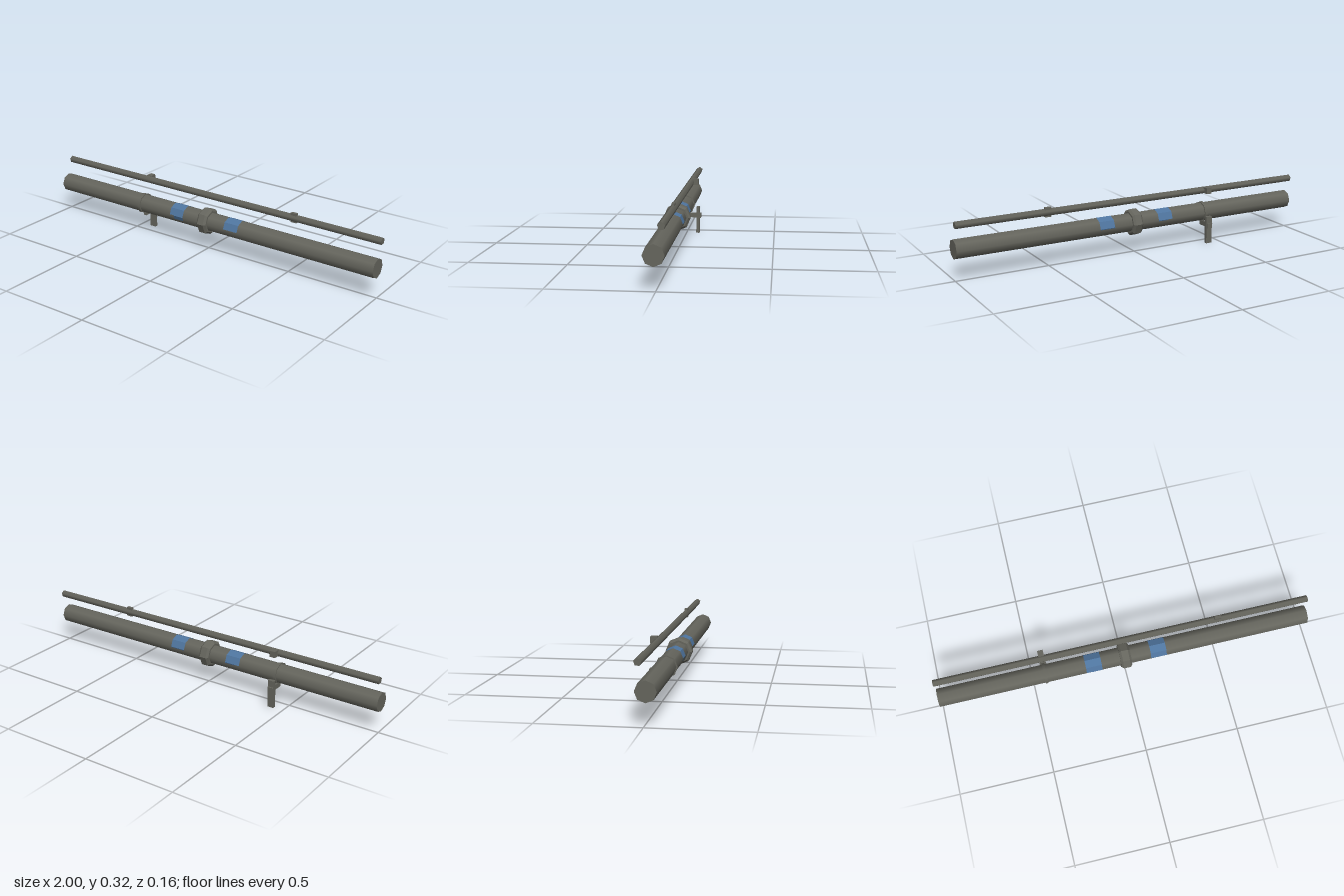
import * as THREE from 'three';

const PIPE_Y = 0.161, PIPE_Z = 0.01, PIPE_R = 0.051;

export function createModel() {
  const model = new THREE.Group();
  const steel = new THREE.MeshStandardMaterial({ color: 0x65655d });
  steel.name = 'grey steel';
  const blue = new THREE.MeshStandardMaterial({ color: 0x4f759f });
  blue.name = 'blue paint';

  const add = (name, geometry, material, x, y, z) => {
    const mesh = new THREE.Mesh(geometry, material);
    mesh.name = name;
    mesh.position.set(x, y, z);
    model.add(mesh);
    return mesh;
  };
  const box = (name, sx, sy, sz, x, y, z) =>
    add(name, new THREE.BoxGeometry(sx, sy, sz), steel, x, y, z);
  // Prism lying along x with one corner pointing up
  const rod = (name, radius, length, sides, x, y, z) =>
    add(name, new THREE.CylinderGeometry(radius, radius, length, sides, 1, false, Math.PI / 2)
      .rotateZ(Math.PI / 2), steel, x, y, z);

  // Pipes
  rod('mainPipe', PIPE_R, 2, 8, 0, PIPE_Y, PIPE_Z);
  rod('thinPipe', 0.019, 2, 5, 0, 0.291, -0.025);

  // Bevelled coupling in the middle of the main pipe
  const profile = [[0.049, -0.029], [0.061, -0.029], [0.072, -0.018],
    [0.072, 0.018], [0.061, 0.029], [0.049, 0.029]]
    .map(([r, h]) => new THREE.Vector2(r, h));
  add('coupling', new THREE.LatheGeometry(profile, 8).rotateZ(Math.PI / 2).toNonIndexed(),
    steel, 0, PIPE_Y, PIPE_Z).geometry.computeVertexNormals();

  // Pipe clamp with its arm and post
  rod('clampStrap', 0.057, 0.015, 8, -0.43, PIPE_Y, PIPE_Z);
  const arm = new THREE.Shape([[0.01, 0.108], [0.01, 0.088], [-0.06, 0.088],
    [-0.06, 0.114], [-0.02, 0.114]].map(([z, y]) => new THREE.Vector2(-z, y)));
  add('clampArm', new THREE.ExtrudeGeometry(arm, { depth: 0.015, bevelEnabled: false })
    .translate(0, 0, -0.0075).rotateY(Math.PI / 2), steel, -0.43, 0, 0);
  box('clampBlock', 0.03, 0.028, 0.026, -0.43, 0.1, -0.068);
  box('post', 0.034, 0.149, 0.018, -0.43, 0.0745, -0.064);

  // Clips on the thin pipe
  box('thinPipeClip', 0.034, 0.05, 0.016, 0.51, 0.292, -0.025);
  box('thinPipeBracket', 0.03, 0.033, 0.034, -0.43, 0.293, -0.05);

  // Painted bands following the pipe's facets, angles in degrees from the top towards the front
  const paint = (name, x0, x1, angles) => {
    const pos = [];
    const section = angles.map((deg) => {
      const inFacet = ((deg % 45) + 45) % 45 - 22.5;
      const r = (PIPE_R + 0.001) * Math.cos(Math.PI / 8) / Math.cos(inFacet * Math.PI / 180);
      const a = deg * Math.PI / 180;
      return [r * Math.cos(a), r * Math.sin(a)];
    });
    for (let i = 0; i < section.length - 1; i++) {
      const [ya, za] = section[i], [yb, zb] = section[i + 1];
      pos.push(x0, ya, za, x0, yb, zb, x1, yb, zb, x0, ya, za, x1, yb, zb, x1, ya, za);
    }
    const geometry = new THREE.BufferGeometry();
    geometry.setAttribute('position', new THREE.Float32BufferAttribute(pos, 3));
    geometry.computeVertexNormals();
    add(name, geometry, blue, 0, PIPE_Y, PIPE_Z);
  };
  blue.side = THREE.DoubleSide;
  paint('paintBandRightOuter', -0.215, -0.19, [-90, -45, 0, 45, 88]);
  paint('paintBandRight', -0.19, -0.13, [-95, -90, -45, 0, 45, 90, 116]);
  paint('paintBandLeft', 0.135, 0.22, [-95, -90, -45, 0, 45, 88]);

  return model;
}
